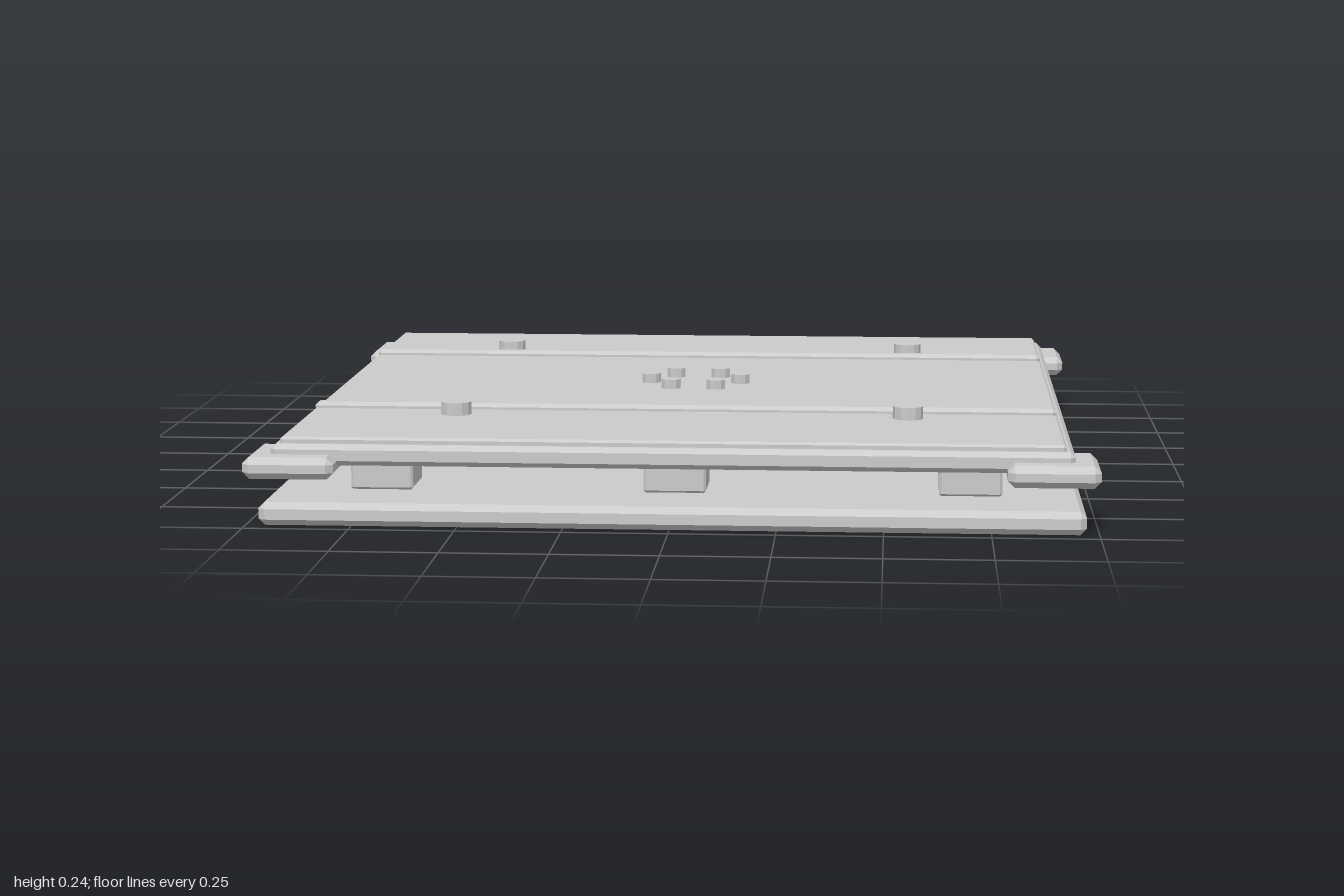
import * as THREE from 'three';
import { ConvexGeometry } from 'three/addons/geometries/ConvexGeometry.js';

const material = new THREE.MeshStandardMaterial({ color: 0xcccccc, flatShading: true });

// Box with every edge chamfered by c
function chamferBox(w, h, d, c) {
  const points = [];
  for (const x of [-1, 1]) for (const y of [-1, 1]) for (const z of [-1, 1]) {
    const X = w / 2, Y = h / 2, Z = d / 2;
    points.push(
      new THREE.Vector3(x * X, y * (Y - c), z * (Z - c)),
      new THREE.Vector3(x * (X - c), y * Y, z * (Z - c)),
      new THREE.Vector3(x * (X - c), y * (Y - c), z * Z));
  }
  return new ConvexGeometry(points);
}

export function createModel() {
  const group = new THREE.Group();
  const add = (name, geometry, x, y, z) => {
    const mesh = new THREE.Mesh(geometry, material);
    mesh.name = name;
    mesh.position.set(x, y, z);
    group.add(mesh);
  };
  const slab = (name, size, y0, y1, c) =>
    add(name, chamferBox(size, y1 - y0, size, c), 0, (y0 + y1) / 2, 0);

  // Stacked plates
  slab('basePlate', 1.94, 0, 0.055, 0.015);
  slab('upperPlate', 1.885, 0.14, 0.19, 0.012);
  slab('topSheet', 1.845, 0.17, 0.205, 0.006);

  // Spacer blocks between the base and the upper plate
  const spacer = chamferBox(0.15, 0.085, 0.15, 0.006);
  for (const x of [-0.705, 0, 0.705])
    for (const z of [-0.705, 0, 0.705]) add('spacerBlock', spacer, x, 0.0965, z);

  // Corner guards and large bolts
  const guard = chamferBox(0.215, 0.052, 0.215, 0.016);
  const bolt = new THREE.CylinderGeometry(0.037, 0.037, 0.04, 12);
  for (const x of [-1, 1]) for (const z of [-1, 1]) {
    add('cornerGuard', guard, x * 0.8925, 0.141, z * 0.8925);
    add('largeBolt', bolt, x * 0.555, 0.216, z * 0.555);
  }

  // Raised strips across the top
  const strip = chamferBox(1.84, 0.024, 0.036, 0.009);
  for (const z of [-0.47, 0.47]) add('raisedStrip', strip, 0, 0.208, z);

  // Ring of small bolts in the middle
  const smallBolt = new THREE.CylinderGeometry(0.025, 0.025, 0.034, 10);
  for (let i = 0; i < 6; i++) {
    const a = i * Math.PI / 3;
    add('smallBolt', smallBolt, 0.117 * Math.cos(a), 0.212, 0.117 * Math.sin(a));
  }
  return group;
}
